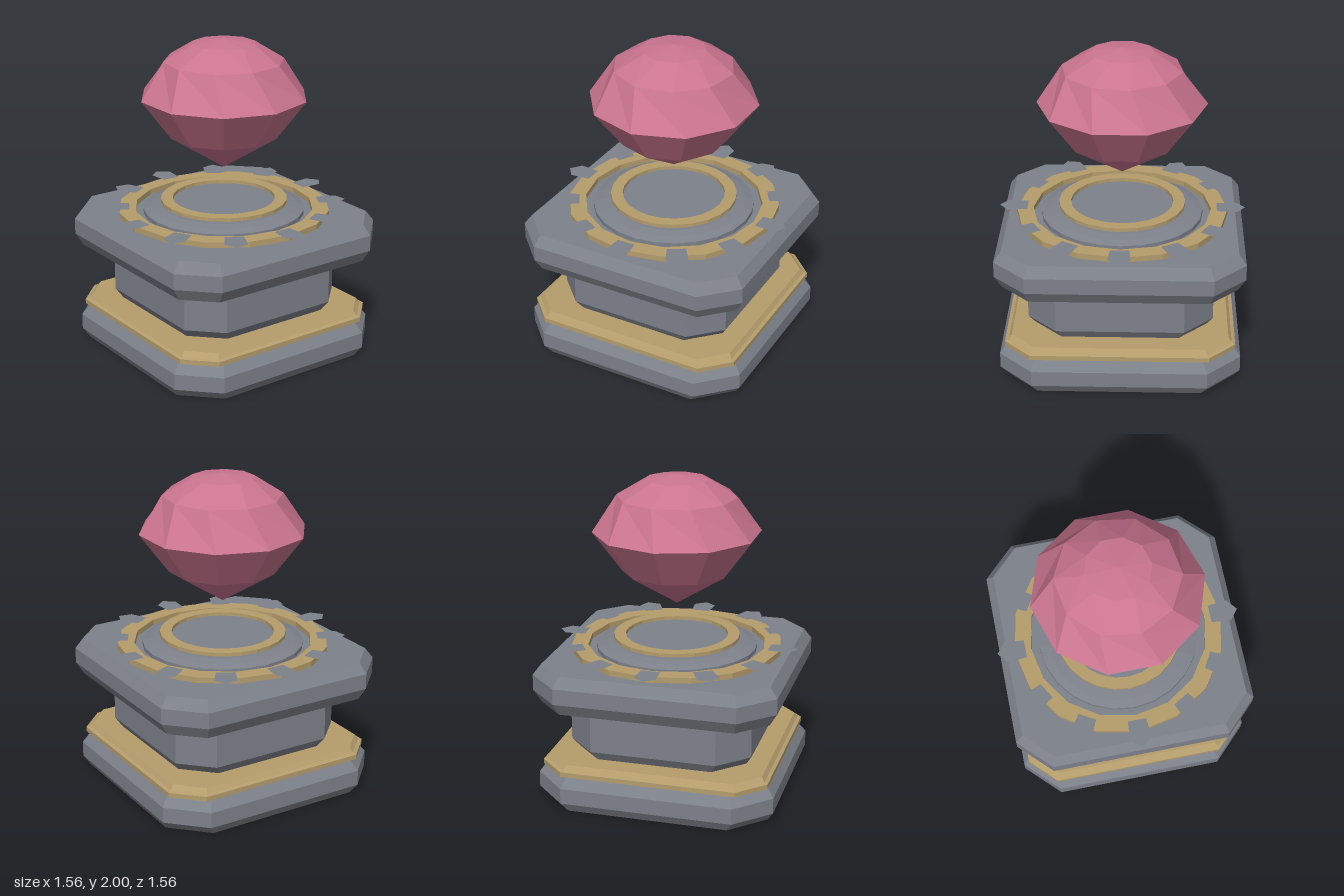
import * as THREE from 'three';

const mat = (name, color) => {
  const m = new THREE.MeshStandardMaterial({ color, flatShading: true });
  m.name = name;
  return m;
};

// Closed skin over rings of [x, y, z] points (listed bottom to top), with a centre point at each end
function loft(rings, yBottom, yTop) {
  const pos = [];
  const tri = (...p) => p.forEach((v) => pos.push(...v));
  const n = rings[0].length, last = rings[rings.length - 1];
  for (let i = 0; i < n; i++) {
    const k = (i + 1) % n;
    for (let j = 0; j < rings.length - 1; j++) {
      const lo = rings[j], hi = rings[j + 1];
      tri(lo[i], hi[i], hi[k]);
      tri(lo[i], hi[k], lo[k]);
    }
    tri([0, yBottom, 0], rings[0][i], rings[0][k]);
    tri([0, yTop, 0], last[k], last[i]);
  }
  const g = new THREE.BufferGeometry();
  g.setAttribute('position', new THREE.Float32BufferAttribute(pos, 3));
  g.computeVertexNormals();
  return g;
}

// Square with cut corners: half width w, half length of the straight sides c
const octagon = (y, w, c) => [
  [w, y, -c], [w, y, c], [c, y, w], [-c, y, w],
  [-w, y, c], [-w, y, -c], [-c, y, -w], [c, y, -w],
];

const slab = (rows) =>
  loft(rows.map((r) => octagon(...r)), rows[0][0], rows[rows.length - 1][0]);

const polygon = (y, r, n, turn) => Array.from({ length: n }, (_, i) => {
  const a = (i / n) * Math.PI * 2 + turn;
  return [r * Math.cos(a), y, r * Math.sin(a)];
});

const lathe = (pts, n) =>
  new THREE.LatheGeometry(pts.map((p) => new THREE.Vector2(...p)), n);

// Flat band with a rectangular section
const band = (outer, inner, y0, y1, n) =>
  lathe([[outer, y0], [outer, y1], [inner, y1], [inner, y0], [outer, y0]], n);

export function createModel() {
  const stone = mat('grey stone', 0x7d818a);
  const gold = mat('dull gold', 0xb59d6c);
  const pink = mat('pink crystal', 0xcb7590);
  const leafStone = stone.clone();
  leafStone.side = THREE.DoubleSide;

  const model = new THREE.Group();
  model.name = 'crystalPedestal';
  const add = (name, geometry, material, parent = model) => {
    const m = new THREE.Mesh(geometry, material);
    m.name = name;
    parent.add(m);
    return m;
  };

  // Pedestal blocks: rows of [height, half width, half straight side]
  add('base', slab([
    [0, 0.715, 0.505], [0.06, 0.752, 0.54], [0.16, 0.752, 0.54], [0.225, 0.705, 0.51],
  ]), stone);
  add('collar', slab([
    [0.225, 0.717, 0.55], [0.255, 0.717, 0.55], [0.262, 0.695, 0.54], [0.29, 0.675, 0.525],
  ]), gold);
  add('neck', slab([
    [0.285, 0.54, 0.36], [0.35, 0.58, 0.397], [0.615, 0.58, 0.397], [0.65, 0.56, 0.385],
  ]), stone);
  add('topSlab', slab([
    [0.64, 0.72, 0.545], [0.72, 0.767, 0.565], [0.82, 0.767, 0.565], [0.885, 0.72, 0.545],
  ]), stone);

  // Round inlays on the slab
  add('outerBand', band(0.67, 0.565, 0.88, 0.92, 16), gold);
  add('raisedDisc', lathe([[0.51, 0.88], [0.51, 0.912], [0.46, 0.928], [0.4, 0.938], [0, 0.94]], 24), stone);
  add('innerBand', band(0.4, 0.325, 0.952, 0.975, 24), gold);

  // Paper-thin pointed leaves around the outer band
  const leafShape = new THREE.Shape([
    [-0.058, 0.6], [0.058, 0.6], [0.07, 0.725], [0, 0.78], [-0.07, 0.725],
  ].map((p) => new THREE.Vector2(...p)));
  const leafGeometry = new THREE.ShapeGeometry(leafShape).rotateX(-Math.PI / 2);
  const leaves = new THREE.Group();
  leaves.name = 'leaves';
  model.add(leaves);
  for (let i = 0; i < 12; i++) {
    const leaf = add('leaf', leafGeometry, leafStone, leaves);
    leaf.position.y = 0.932;
    leaf.rotation.y = (i * Math.PI) / 6;
  }

  // Floating ten-sided gem, its shoulder twisted a little
  add('gem', loft([
    polygon(1.39, 0.342, 10, 0),
    polygon(1.64, 0.528, 10, 0),
    polygon(1.865, 0.376, 10, Math.PI / 20),
    polygon(1.972, 0.2, 10, 0),
  ], 1.175, 2), pink);

  return model;
}
